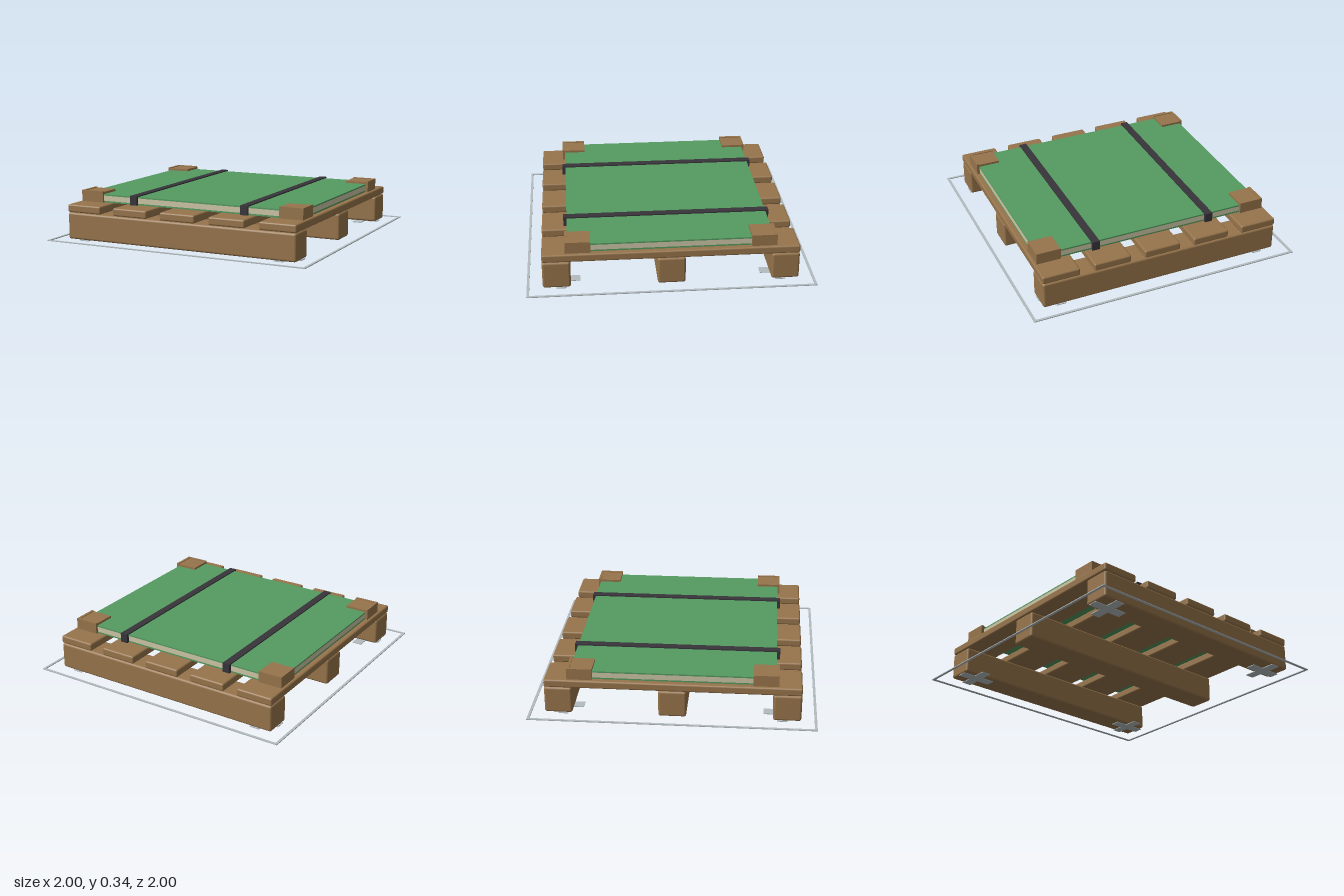
import * as THREE from 'three';
import { RoundedBoxGeometry } from 'three/addons/geometries/RoundedBoxGeometry.js';

const material = (name, color) => {
  const m = new THREE.MeshStandardMaterial({ color });
  m.name = name;
  return m;
};

export function createModel() {
  const wood = material('wood', 0x96744b);
  const green = material('green sheet', 0x559a60);
  const cream = material('cream core', 0xcbc5a5);
  const strapDark = material('dark strap', 0x37343a);
  const grey = material('grey marking', 0xb4bcbf);

  const model = new THREE.Group();
  model.name = 'loadedPallet';

  // Boxes are given by their ranges along x, y and z
  const box = (parent, name, mat, [x0, x1], [y0, y1], [z0, z1], radius = 0) => {
    const size = [x1 - x0, y1 - y0, z1 - z0];
    const geometry = radius
      ? new RoundedBoxGeometry(...size, 2, radius)
      : new THREE.BoxGeometry(...size);
    const mesh = new THREE.Mesh(geometry, mat);
    mesh.name = name;
    mesh.position.set((x0 + x1) / 2, (y0 + y1) / 2, (z0 + z1) / 2);
    parent.add(mesh);
    return mesh;
  };
  const group = (name) => {
    const g = new THREE.Group();
    g.name = name;
    model.add(g);
    return g;
  };
  // Mirrored range on the side s
  const side = (s, a, b) => (s > 0 ? [a, b] : [-b, -a]);

  // Pallet: three runners below five deck boards
  const pallet = group('pallet');
  for (const z of [-0.793, 0, 0.793])
    box(pallet, 'runner', wood, [-0.89, 0.89], [0.006, 0.2], [z - 0.097, z + 0.097], 0.016);
  for (let i = -2; i <= 2; i++) {
    const x = i * 0.3775;
    box(pallet, 'deckBoard', wood, [x - 0.136, x + 0.136], [0.202, 0.259], [-0.89, 0.89], 0.012);
  }

  // Stacked panel: cream core between green sheets
  const panel = group('panel');
  const px = [-0.852, 0.852], pz = [-0.712, 0.712];
  box(panel, 'bottomSheet', green, px, [0.26, 0.271], pz);
  box(panel, 'core', cream, px, [0.271, 0.309], pz);
  box(panel, 'topSheet', green, px, [0.309, 0.319], pz);

  // Straps over the panel, folded down at both ends
  for (const s of [-1, 1]) {
    const strap = group(s > 0 ? 'leftStrap' : 'rightStrap');
    const sx = side(s, 0.409, 0.464);
    box(strap, 'strapTop', strapDark, sx, [0.319, 0.327], [-0.735, 0.735]);
    for (const t of [-1, 1])
      box(strap, 'strapEnd', strapDark, sx, [0.26, 0.319], side(t, 0.713, 0.735));
  }

  // Corner protectors and ground crosses, one of each per corner
  for (const s of [-1, 1]) for (const t of [-1, 1]) {
    const corner = group('cornerProtector');
    box(corner, 'sideWall', wood, side(s, 0.852, 0.872), [0.26, 0.341], side(t, 0.555, 0.73));
    box(corner, 'endWall', wood, side(s, 0.695, 0.852), [0.26, 0.341], side(t, 0.712, 0.73));
    box(corner, 'cap', wood, side(s, 0.695, 0.852), [0.32, 0.336], side(t, 0.555, 0.712));

    const cross = group('groundCross');
    box(cross, 'crossArmX', grey, side(s, 0.63, 0.89), [0, 0.005], side(t, 0.725, 0.795));
    box(cross, 'crossArmZ', grey, side(s, 0.725, 0.795), [0.0005, 0.0055], side(t, 0.63, 0.89));
  }

  // Outline on the ground
  const outline = group('groundOutline');
  for (const s of [-1, 1]) {
    box(outline, 'outlineEnd', grey, [-1, 1], [0, 0.006], side(s, 0.982, 1));
    box(outline, 'outlineSide', grey, side(s, 0.982, 1), [0, 0.006], [-0.982, 0.982]);
  }

  return model;
}
